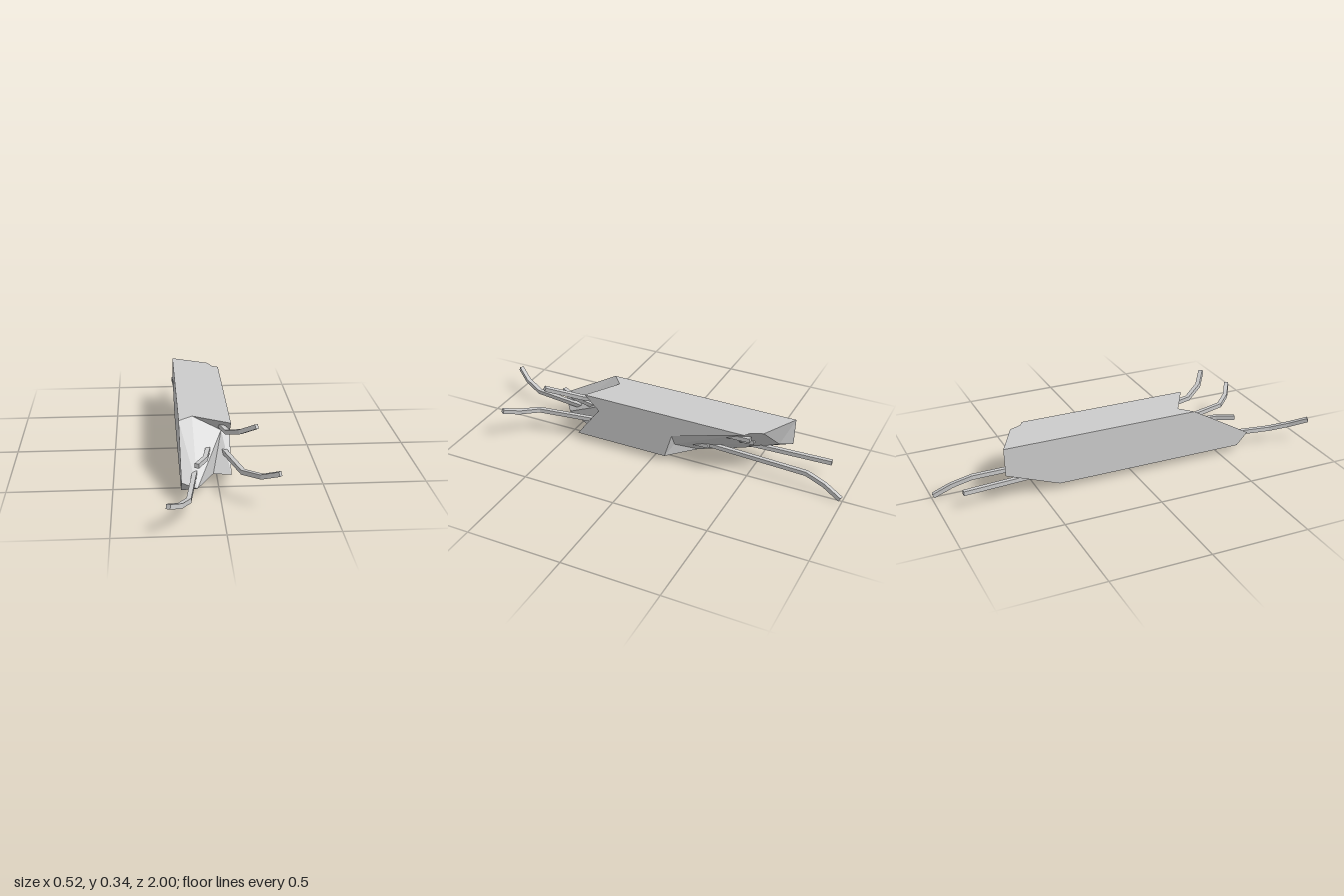
import * as THREE from 'three';

const material = new THREE.MeshStandardMaterial({ color: 0xcccccc, flatShading: true });

// Beam section limits
const L = -0.182, R = 0.066, B = 0.037, T = 0.283;

// Corners of the broken ends
const P = {
  // front end
  a: [L, T, 0.34], b: [-0.115, T, 0.28], c: [R, T, 0.39], d: [R, 0.207, 0.31],
  e: [R, B, 0.44], f: [-0.02, B, 0.42], g: [-0.105, B, 0.59], h: [L, B, 0.6],
  i: [L, 0.1, 0.66], m: [0.025, 0.217, 0.305],
  // back end
  A: [R, B, -0.07], B: [R, 0.17, -0.11], C: [R, T, -0.5], D: [0.035, T, -0.52],
  E: [0.01, T, -0.58], F: [L, T, -0.68], G: [L, 0.14, -0.675], H: [L, B, -0.4],
  I: [-0.07, B, -0.2], Q: [0.03, 0.1, -0.11], S: [-0.14, 0.145, -0.615],
};

function meshFromTriangles(name, triangles) {
  const positions = triangles.flatMap((t) => [...t].flatMap((k) => P[k]));
  const geometry = new THREE.BufferGeometry();
  geometry.setAttribute('position', new THREE.Float32BufferAttribute(positions, 3));
  geometry.computeVertexNormals();
  const mesh = new THREE.Mesh(geometry, material);
  mesh.name = name;
  return mesh;
}

// Flat side of the beam: outline by corner letters, facing along +/- one axis
function side(name, outline, axis, sign) {
  const keys = [...outline];
  const [u, v] = [[1, 2], [2, 0], [0, 1]][axis];
  const flat = keys.map((k) => new THREE.Vector2(P[k][u], P[k][v]));
  const triangles = THREE.ShapeUtils.triangulateShape(flat, []).map((t) => {
    const area = THREE.ShapeUtils.area(t.map((n) => flat[n]));
    const order = area * sign < 0 ? [t[0], t[2], t[1]] : t;
    return order.map((n) => keys[n]).join('');
  });
  return meshFromTriangles(name, triangles);
}

// Square bar bent through the given points
function bar(name, points) {
  const path = new THREE.CatmullRomCurve3(points.map((p) => new THREE.Vector3(...p)));
  // step exactly from bend to bend
  path.getPointAt = (t, target) => path.getPoint(t, target);
  path.getTangentAt = (t, target) => path.getTangent(t, target);
  const r = 0.011;
  const section = new THREE.Shape([[-r, -r], [r, -r], [r, r], [-r, r]].map((p) => new THREE.Vector2(...p)));
  const geometry = new THREE.ExtrudeGeometry(section, { steps: points.length - 1, extrudePath: path });
  const mesh = new THREE.Mesh(geometry, material);
  mesh.name = name;
  return mesh;
}

export function createModel() {
  const model = new THREE.Group();
  model.name = 'brokenBeam';

  // Concrete block
  const beam = new THREE.Group();
  beam.name = 'concreteBeam';
  beam.add(
    side('beamTop', 'abcCDEF', 1, 1),
    side('beamBottom', 'hgfeAIH', 1, -1),
    side('beamLeftSide', 'cdeABC', 0, 1),
    side('beamRightSide', 'aihHGF', 0, -1),
    meshFromTriangles('frontFracture', ['aig', 'agb', 'ihg', 'bgm', 'gfm', 'fem', 'edm', 'dcm', 'cbm']),
    meshFromTriangles('backFracture',
      ['AQB', 'BDC', 'BQD', 'DQE', 'QSE', 'ESF', 'FSG', 'GSH', 'SQH', 'HQI', 'IQA']),
  );
  model.add(beam);

  // Reinforcing bars at the front
  const frontBars = [
    [[-0.112, 0.085, 0.5], [-0.155, 0.082, 0.81], [-0.197, 0.105, 0.91], [-0.25, 0.14, 0.99]],
    [[-0.04, 0.152, 0.36], [-0.065, 0.163, 0.53], [-0.11, 0.165, 0.62]],
    [[0.02, 0.245, 0.31], [0.045, 0.25, 0.42], [0.1, 0.285, 0.51], [0.17, 0.33, 0.565]],
    [[0.035, 0.127, 0.35], [0.1, 0.143, 0.65], [0.178, 0.152, 0.73], [0.255, 0.185, 0.78]],
  ];
  // Reinforcing bars at the back
  const backBars = [
    [[-0.05, 0.105, -0.1], [-0.033, 0.09, -0.8], [-0.018, 0.06, -0.9], [0, 0.014, -0.99]],
    [[-0.14, 0.1, -0.28], [-0.174, 0.093, -0.885]],
    [[0.014, 0.225, -0.35], [0.014, 0.23, -0.515]],
    [[-0.057, 0.163, -0.25], [-0.057, 0.175, -0.51]],
    [[-0.02, 0.108, -0.1], [-0.02, 0.11, -0.28]],
  ];
  frontBars.forEach((p, n) => model.add(bar(`frontBar${n + 1}`, p)));
  backBars.forEach((p, n) => model.add(bar(`backBar${n + 1}`, p)));
  return model;
}
